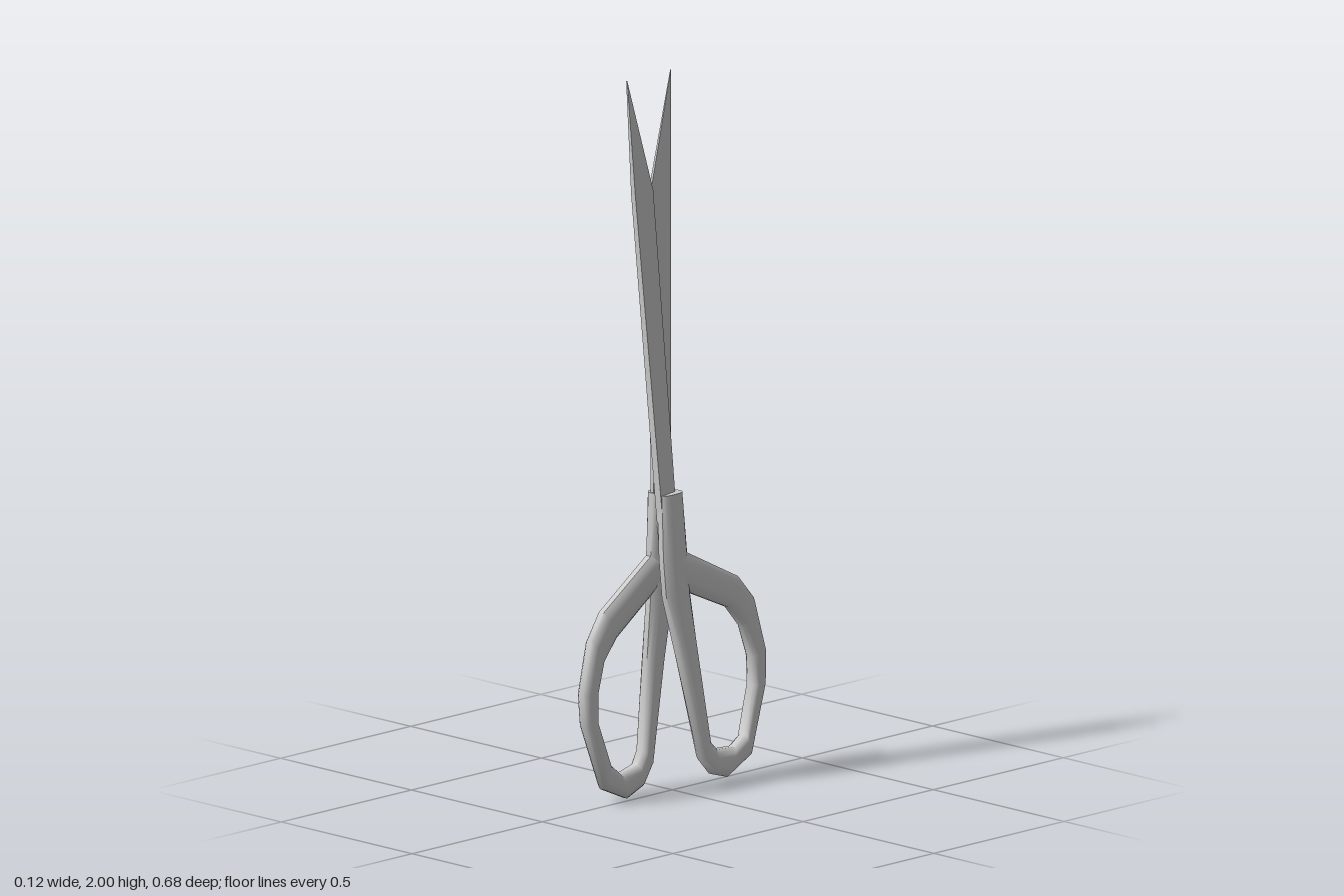
import * as THREE from 'three';
import { toCreasedNormals } from 'three/addons/utils/BufferGeometryUtils.js';

// Skin a row of rings (arrays of [x, y, z]) with closed ends, facing outward
function loft(rings, crease) {
  const n = rings[0].length, pos = rings.flat(2), idx = [];
  for (let r = 0; r < rings.length - 1; r++) {
    for (let i = 0; i < n; i++) {
      const a = r * n + i, b = r * n + (i + 1) % n;
      idx.push(a, b, a + n, b, b + n, a + n);
    }
  }
  const last = (rings.length - 1) * n;
  for (let i = 1; i < n - 1; i++) idx.push(0, i + 1, i, last, last + i, last + i + 1);

  // A negative volume means the corners run the wrong way round
  const P = (i) => new THREE.Vector3().fromArray(pos, i * 3);
  let volume = 0;
  for (let i = 0; i < idx.length; i += 3) volume += P(idx[i]).dot(P(idx[i + 1]).cross(P(idx[i + 2])));
  if (volume < 0) idx.reverse();

  const g = new THREE.BufferGeometry();
  g.setAttribute('position', new THREE.Float32BufferAttribute(pos, 3));
  g.setIndex(idx);
  return toCreasedNormals(g, crease);
}

// Rounded band cross-section: [across, thickness]
const BAND = [[-1, -0.4], [-0.75, -0.85], [-0.4, -1], [0.4, -1], [0.75, -0.85], [1, -0.4],
  [1, 0.4], [0.75, 0.85], [0.4, 1], [-0.4, 1], [-0.75, 0.85], [-1, 0.4]];

// Handle: neck, shank and finger loop in one sweep; rows are outer z, y and inner z, y
function handle(rows, xAt) {
  const rings = rows.map(([oz, oy, iz, iy]) => BAND.map(([u, v]) => {
    const t = (u + 1) / 2;
    const z = oz + (iz - oz) * t, y = oy + (iy - oy) * t;
    return [xAt(y, z) + v * 0.022, y, z];
  }));
  return loft(rings, 0.9);
}

// Blade: rows are y, back z, edge z, outer x, inner x; the edge is thinner than the back
function blade(rows) {
  const rings = rows.map(([y, back, edge, xo, xi]) => {
    const thin = xi + (xo - xi) * 0.5;
    return [[xo, y, back], [xi, y, back], [xi, y, edge], [thin, y, edge]];
  });
  return loft(rings, 0.2);
}

const RIGHT_HANDLE = [
  [-0.03, 0.835, 0.046, 0.835], [-0.042, 0.66, 0.055, 0.66], [-0.042, 0.55, 0.055, 0.55],
  [0.0, 0.36, 0.072, 0.36], [0.05, 0.08, 0.09, 0.125], [0.09, 0.025, 0.11, 0.09],
  [0.155, 0.003, 0.18, 0.075], [0.25, 0.045, 0.225, 0.11], [0.33, 0.235, 0.28, 0.24],
  [0.34, 0.325, 0.28, 0.32], [0.305, 0.47, 0.255, 0.4], [0.255, 0.54, 0.2, 0.46],
  [0.055, 0.66, 0.055, 0.55], [0.0, 0.68, 0.01, 0.58],
];
const LEFT_HANDLE = [
  [0.052, 0.835, -0.03, 0.835], [0.056, 0.66, -0.04, 0.66], [0.05, 0.55, -0.045, 0.55],
  [0.0, 0.36, -0.07, 0.36], [-0.07, 0.08, -0.1, 0.13], [-0.11, 0.035, -0.13, 0.1],
  [-0.165, 0.018, -0.2, 0.095], [-0.26, 0.06, -0.24, 0.12], [-0.33, 0.25, -0.28, 0.25],
  [-0.338, 0.34, -0.28, 0.33], [-0.3, 0.49, -0.25, 0.42], [-0.24, 0.56, -0.2, 0.48],
  [-0.035, 0.665, -0.045, 0.55], [0.01, 0.69, 0.0, 0.58],
];
const RIGHT_BLADE = [
  [0.7, -0.024, 0.042, -0.053, -0.028], [1.68, -0.04, 0.037, -0.061, -0.044],
  [2.0, -0.042, -0.04, -0.05, -0.046],
];
const LEFT_BLADE = [
  [0.7, 0.047, -0.018, 0.018, -0.006], [1.68, 0.115, 0.038, -0.027, -0.043],
  [2.0, 0.132, 0.13, -0.041, -0.045],
];

export function createModel() {
  const group = new THREE.Group();
  group.name = 'scissors';
  const material = new THREE.MeshStandardMaterial({ color: 0xcccccc });
  const add = (name, geometry) => {
    const mesh = new THREE.Mesh(geometry, material);
    mesh.name = name;
    group.add(mesh);
  };
  // The two halves lean slightly so the blades cross
  add('rightHandle', handle(RIGHT_HANDLE, (y, z) => -0.0415 + 0.09 * z));
  add('leftHandle', handle(LEFT_HANDLE, (y, z) => 0.046 - 0.054 * y + 0.05 * z));
  add('rightBlade', blade(RIGHT_BLADE));
  add('leftBlade', blade(LEFT_BLADE));
  return group;
}
